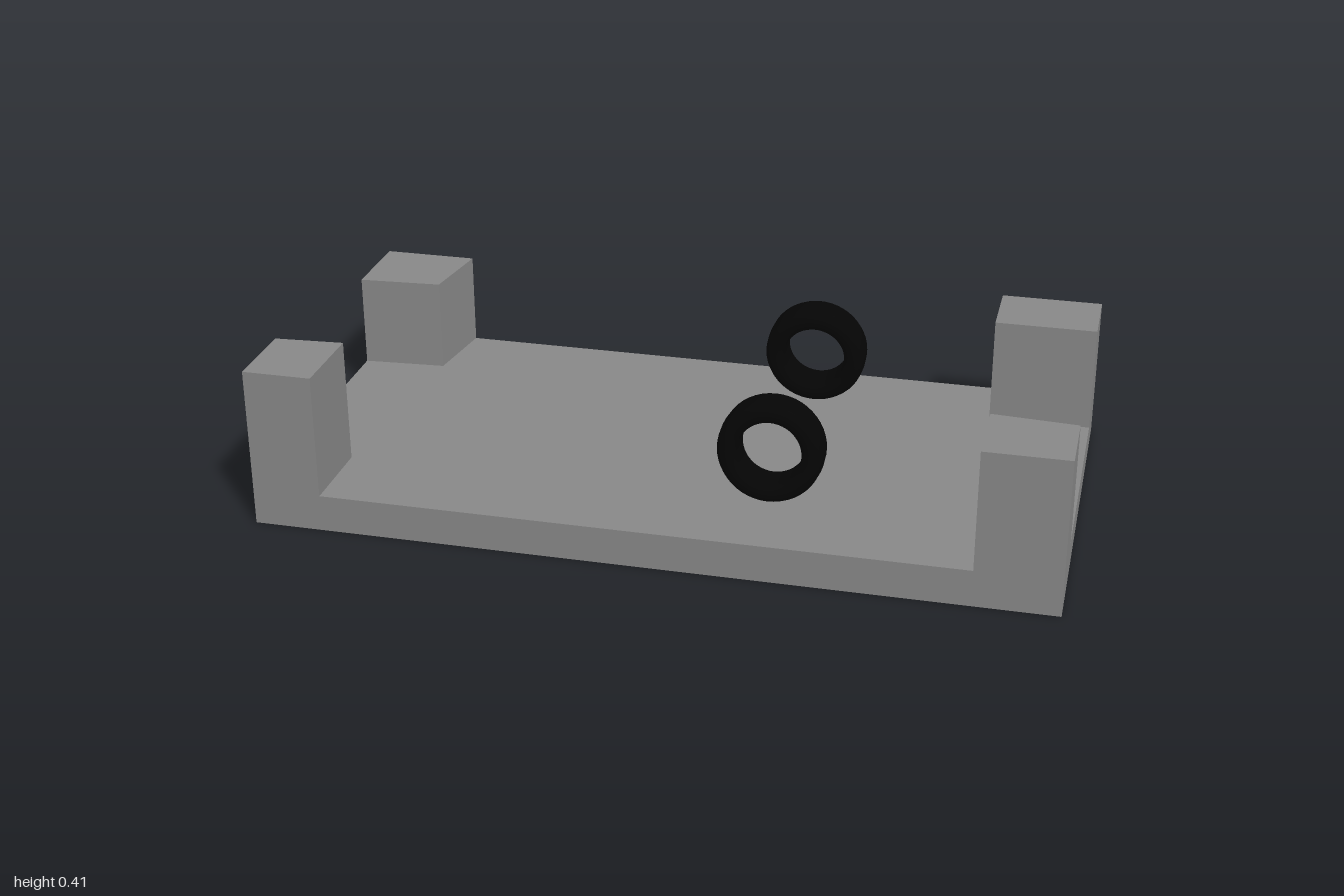
import * as THREE from 'three';

const grey = new THREE.MeshStandardMaterial({ color: 0x888888 });
const rubber = new THREE.MeshStandardMaterial({ color: 0x050505 });
const baseTop = 0.095;

// Upright prism from a floor plan of [x, z] corners
function prism(name, plan, y0, y1) {
  const shape = new THREE.Shape(plan.map(([x, z]) => new THREE.Vector2(x, -z)));
  const geometry = new THREE.ExtrudeGeometry(shape, { depth: y1 - y0, bevelEnabled: false });
  geometry.rotateX(-Math.PI / 2).translate(0, y0, 0);
  const mesh = new THREE.Mesh(geometry, grey);
  mesh.name = name;
  return mesh;
}

// Tyre with a flat tread, rounded shoulders and an open centre
function tyre(name, x, y, z, lean) {
  const section = [
    [0.08, -0.036], [0.086, -0.046], [0.1, -0.052], [0.115, -0.05], [0.126, -0.042],
    [0.131, -0.03], [0.133, 0], [0.131, 0.03], [0.126, 0.042], [0.115, 0.05],
    [0.1, 0.052], [0.086, 0.046], [0.08, 0.036], [0.08, -0.036],
  ].map(([r, h]) => new THREE.Vector2(r, h));
  const geometry = new THREE.LatheGeometry(section, 48).rotateX(Math.PI / 2);
  const mesh = new THREE.Mesh(geometry, rubber);
  mesh.name = name;
  mesh.position.set(x, y, z);
  mesh.rotation.x = lean;
  return mesh;
}

export function createModel() {
  const model = new THREE.Group();
  model.name = 'trayWithPosts';

  // Base slab
  const d = 0.505;
  model.add(prism('base', [[-1, -d], [1, -d], [1, d], [-1, d]], 0, baseTop));

  // Corner posts, each with its own slightly skewed plan and height
  const posts = [
    ['frontRightPost', 0.415, [[-1, d], [-0.825, d], [-0.825, 0.287], [-1, 0.3]]],
    ['frontLeftPost', 0.405, [[1, d], [0.79, d], [0.79, 0.304], [1, 0.319]]],
    ['backRightPost', 0.34, [[-1, -d], [-0.752, -d], [-0.781, -0.3], [-1, -0.285]]],
    ['backLeftPost', 0.37, [[1, -d], [0.738, -d], [0.738, -0.317], [1, -0.317]]],
  ];
  for (const [name, top, plan] of posts) model.add(prism(name, plan, baseTop, top));

  // Pair of tyres leaning slightly inward
  model.add(tyre('frontTyre', 0.263, 0.234, 0.259, -0.05));
  model.add(tyre('backTyre', 0.271, 0.246, -0.311, 0.07));
  return model;
}
